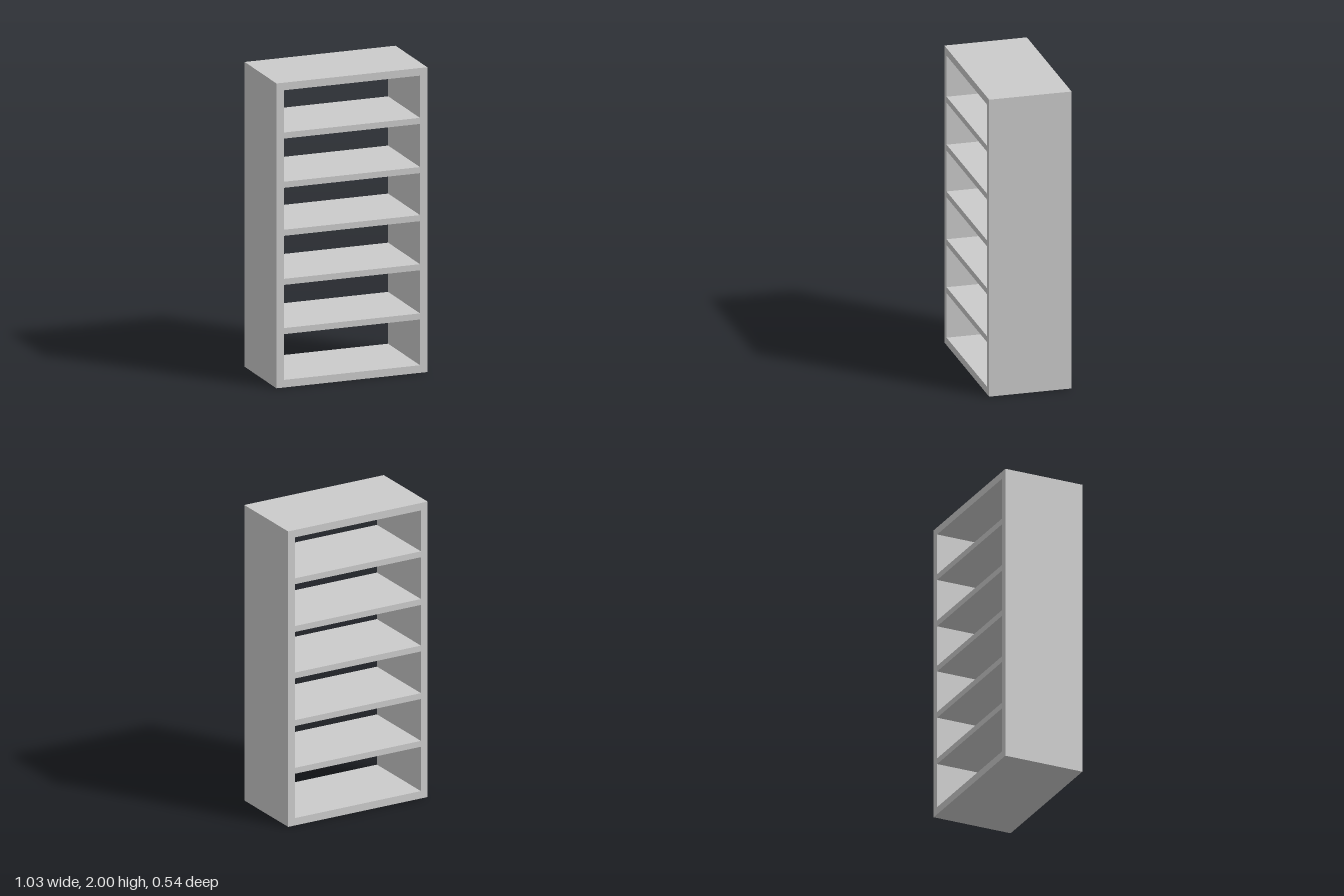
import * as THREE from 'three';

const WIDTH = 1.026, HEIGHT = 2, DEPTH = 0.542, WALL = 0.05;
const SHELF_THICKNESS = 0.04;
const SHELF_HEIGHTS = [0.37, 0.693, 1.015, 1.33, 1.653]; // shelf centre lines

// Traces a rectangle onto a Shape or Path
function rectangle(path, x0, y0, x1, y1) {
  path.moveTo(x0, y0);
  path.lineTo(x1, y0);
  path.lineTo(x1, y1);
  path.lineTo(x0, y1);
  path.closePath();
  return path;
}

export function createModel() {
  const group = new THREE.Group();
  group.name = 'bookcase';
  const material = new THREE.MeshStandardMaterial({ color: 0xcccccc });
  const half = WIDTH / 2, inner = half - WALL;

  // Outer frame: sides, top and base, open at front and back
  const outline = rectangle(new THREE.Shape(), -half, 0, half, HEIGHT);
  outline.holes.push(rectangle(new THREE.Path(), -inner, WALL, inner, HEIGHT - WALL));
  const frameGeometry = new THREE.ExtrudeGeometry(outline, { depth: DEPTH, bevelEnabled: false });
  frameGeometry.translate(0, 0, -DEPTH / 2);
  const frame = new THREE.Mesh(frameGeometry, material);
  frame.name = 'frame';
  group.add(frame);

  // Full-depth shelves, flush with the frame
  const shelfGeometry = new THREE.BoxGeometry(inner * 2, SHELF_THICKNESS, DEPTH);
  SHELF_HEIGHTS.forEach((y, i) => {
    const shelf = new THREE.Mesh(shelfGeometry, material);
    shelf.name = `shelf${i + 1}`;
    shelf.position.y = y;
    group.add(shelf);
  });

  return group;
}
